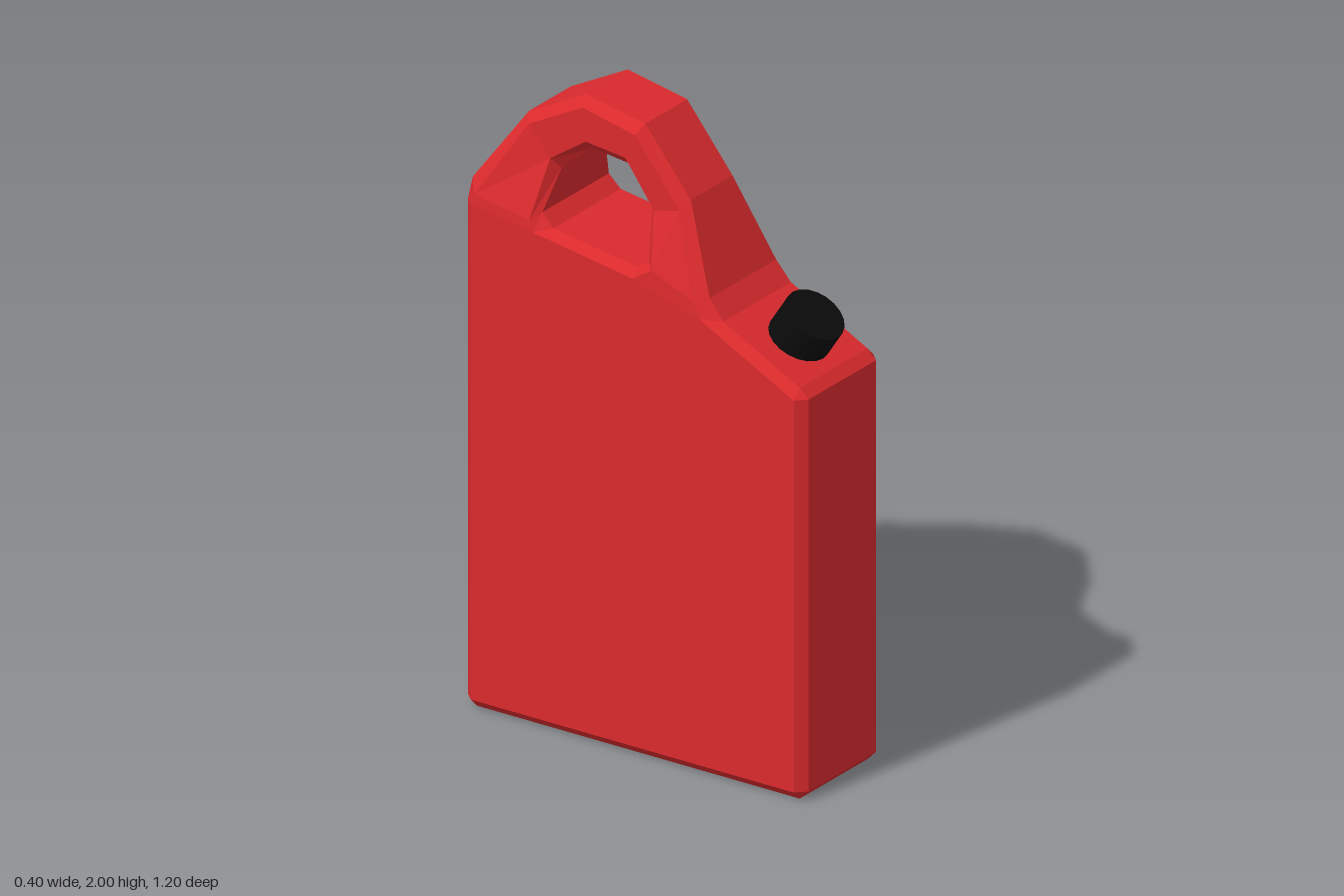
import * as THREE from 'three';
import { mergeGeometries } from 'three/addons/utils/BufferGeometryUtils.js';

// Profiles are drawn as [a, y] with a = -z (seen from the +x side); depth becomes x.
const CHAMFER = 0.03, HALF = 0.2;

// Flat-faced skin between successive closed loops of [a, y, depth]
function loft(loops) {
  const pos = [];
  for (let i = 0; i < loops.length - 1; i++) {
    const p = loops[i], q = loops[i + 1], n = p.length;
    for (let j = 0; j < n; j++) {
      const k = (j + 1) % n;
      pos.push(...p[j], ...p[k], ...q[k], ...p[j], ...q[k], ...q[j]);
    }
  }
  const g = new THREE.BufferGeometry();
  g.setAttribute('position', new THREE.Float32BufferAttribute(pos, 3));
  g.computeVertexNormals();
  return g;
}

// Flat face at a depth, facing +depth or, when flipped, -depth
function face(points, depth, hole, flip = false) {
  const toV = (pts) => pts.map(([a, y]) => new THREE.Vector2(a, y));
  const shape = new THREE.Shape(toV(points));
  if (hole) shape.holes.push(new THREE.Path(toV(hole)));
  const g = new THREE.ShapeGeometry(shape);
  if (flip) g.index.array.reverse();
  const flat = g.toNonIndexed().translate(0, 0, depth);
  flat.deleteAttribute('uv');
  flat.computeVertexNormals();
  return flat;
}

const at = (points, depth) => points.map(([a, y]) => [a, y, depth]);

function decagon(radius) {
  return Array.from({ length: 10 }, (_, i) => {
    const t = (i * Math.PI) / 5;
    return [radius * Math.cos(t), 0.775 + radius * Math.sin(t)];
  });
}

export function createModel() {
  const model = new THREE.Group();
  model.name = 'fuelCan';
  const red = new THREE.MeshStandardMaterial({ color: 0xdb2a2d, flatShading: true });
  const black = new THREE.MeshStandardMaterial({ color: 0x0b0b0b });
  const add = (name, geometry, material) => {
    const mesh = new THREE.Mesh(geometry, material);
    mesh.name = name;
    model.add(mesh);
    return mesh;
  };

  // Tank: outer edge and the matching inset edge of its side faces
  const edge = [[-0.57, 0], [0.57, 0], [0.6, 0.03], [0.6, 1.6], [0.3, 1.58], [0, 1.535],
    [-0.3, 1.44], [-0.57, 1.3], [-0.6, 1.27], [-0.6, 0.03]];
  const inset = [[-0.57, 0.03], [0.57, 0.03], [0.57, 0.03], [0.57, 1.6], [0.35, 1.565], [0, 1.51],
    [-0.24, 1.44], [-0.57, 1.27], [-0.57, 1.27], [-0.57, 0.03]];
  const outline = inset.filter((p, i) => {
    const q = inset[(i + 1) % inset.length];
    return p[0] !== q[0] || p[1] !== q[1];
  });
  const rim = decagon(0.28), floor = decagon(0.273);
  const e = HALF - CHAMFER;
  add('tank', mergeGeometries([
    loft([at(inset, -HALF), at(edge, -e), at(edge, e), at(inset, HALF)]),
    face(outline, -HALF, null, true),
    face(outline, HALF, rim),
  ]).rotateY(Math.PI / 2), red);

  // Round panel sunk into one side only
  add('sidePanelRecess', mergeGeometries([
    loft([at(rim, HALF), at(floor, HALF - 0.03)]),
    face(floor, HALF - 0.03),
  ]).rotateY(Math.PI / 2), red);

  // Handle stations, front to back:
  // outer edge, outer face line, inner face line, inner edge, half width
  const stations = [
    [[-0.3, 1.44], [-0.24, 1.44], [0, 1.51], [0, 1.535], 0.2],
    [[-0.25, 1.5], [-0.21, 1.49], [-0.065, 1.55], [-0.035, 1.56], 0.197],
    [[-0.14, 1.76], [-0.12, 1.73], [-0.03, 1.71], [-0.005, 1.7], 0.135],
    [[0.02, 1.96], [0.035, 1.93], [0.07, 1.85], [0.08, 1.82], 0.135],
    [[0.23, 2], [0.22, 1.97], [0.21, 1.865], [0.205, 1.835], 0.135],
    [[0.43, 1.895], [0.41, 1.87], [0.335, 1.78], [0.315, 1.745], 0.135],
    [[0.585, 1.67], [0.56, 1.63], [0.365, 1.6], [0.34, 1.62], 0.197],
    [[0.6, 1.6], [0.57, 1.6], [0.35, 1.565], [0.3, 1.58], 0.2],
  ];
  const handle = stations.map(([o, fo, fi, i, w]) => {
    const n = w - CHAMFER;
    return [[...o, -n], [...o, n], [...fo, w], [...fi, w],
      [...i, n], [...i, -n], [...fi, -w], [...fo, -w]];
  });
  add('handle', loft(handle).rotateY(Math.PI / 2), red);

  // Screw cap on the sloping shoulder
  const cap = add('cap', new THREE.CylinderGeometry(0.095, 0.095, 0.14, 20), black);
  cap.position.set(0, 1.394, 0.467);
  cap.rotation.x = 0.58;

  return model;
}
